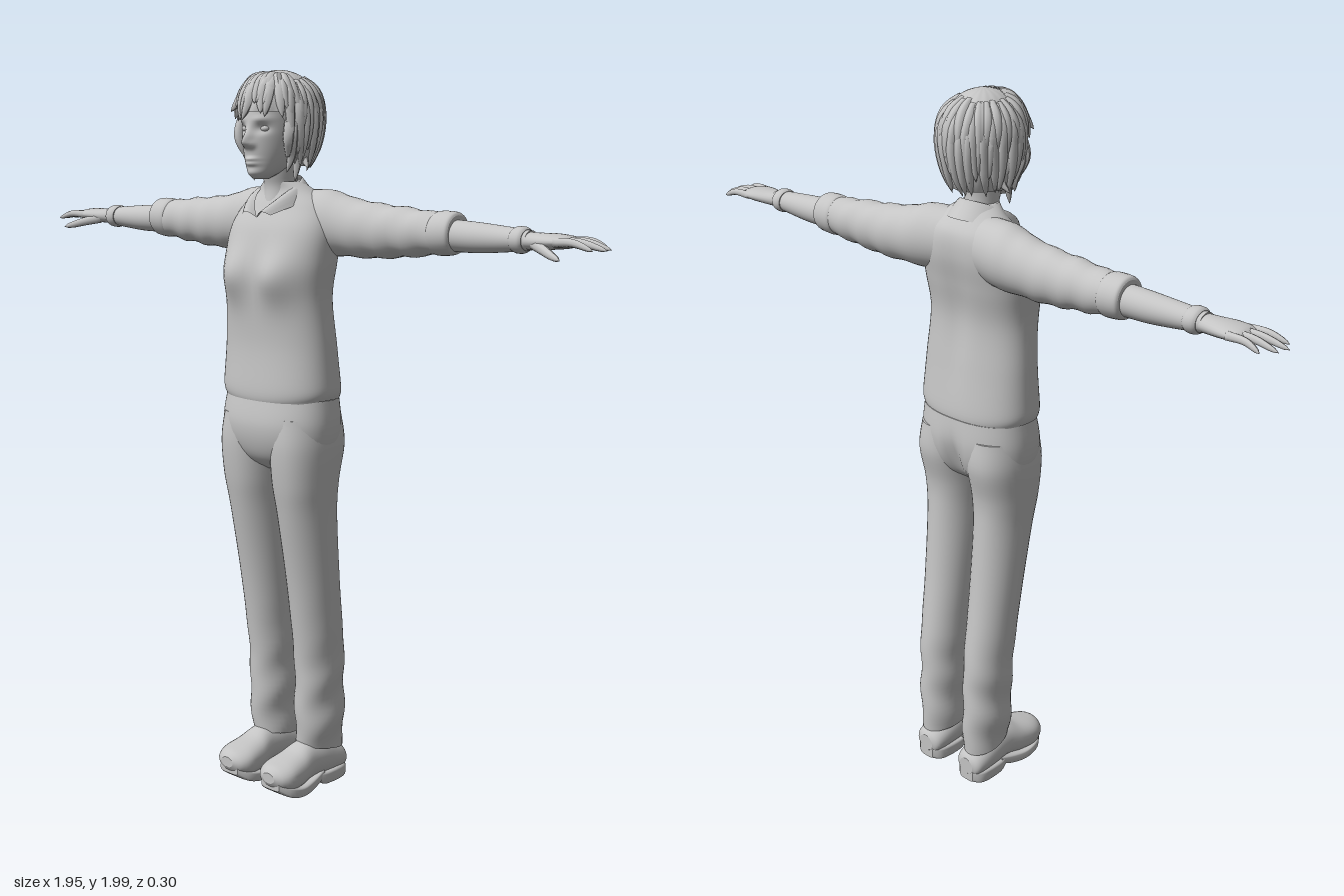
import * as THREE from 'three';

const clay = new THREE.MeshStandardMaterial({ color: 0xc4c4c4, side: THREE.DoubleSide });
clay.name = 'light grey';

let seed = 7;
const rand = () => (seed = (seed * 16807) % 2147483647) / 2147483647;
const gauss = (x, c, w) => Math.exp(-(((x - c) / w) ** 2));
const spow = (v, e) => Math.sign(v) * Math.abs(v) ** e;

function build(pos, idx) {
  const g = new THREE.BufferGeometry();
  g.setAttribute('position', new THREE.Float32BufferAttribute(pos, 3));
  g.setIndex(idx);
  g.computeVertexNormals();
  return g;
}

// Smooth skin through rows [t, u, v, ru, rv, power] along one axis, with flat ends.
// Axis y: u = x, v = z.  Axis x: u = y, v = z.  Axis z: u = x, v = y.
function loft(axis, rows, deform = () => {}, n = 36, steps = 6) {
  const pos = [], idx = [], p = new THREE.Vector3();
  const at = (i) => rows[Math.max(0, Math.min(rows.length - 1, i))];
  const total = (rows.length - 1) * steps;
  const put = (t, u, v) => {
    if (axis === 'y') p.set(u, t, v); else if (axis === 'x') p.set(t, u, v); else p.set(u, v, t);
    deform(p);
    pos.push(p.x, p.y, p.z);
  };
  const sample = (s) => {
    const i = Math.min(Math.floor(s / steps), rows.length - 2), f = s / steps - i;
    return [0, 1, 2, 3, 4, 5].map((k) => {
      const [a, b, c, d] = [-1, 0, 1, 2].map((o) => at(i + o)[k] ?? 2);
      return b + 0.5 * f * (c - a + f * (2 * a - 5 * b + 4 * c - d + f * (3 * (b - c) + d - a)));
    });
  };
  const ring = (s) => {
    const [t, u, v, ru, rv, pw] = sample(s), dir = axis === 'y' ? -1 : 1;
    for (let j = 0; j < n; j++) {
      const a = (j / n) * Math.PI * 2;
      put(t, u + ru * spow(Math.cos(a), 2 / pw), v + dir * rv * spow(Math.sin(a), 2 / pw));
    }
  };
  for (let s = 0; s <= total; s++) ring(s);
  for (let s = 0; s < total; s++) for (let j = 0; j < n; j++) {
    const a = s * n + j, b = s * n + (j + 1) % n;
    idx.push(a, b, b + n, a, b + n, a + n);
  }
  for (const s of [0, total]) {
    const base = pos.length / 3, [t, u, v] = sample(s);
    ring(s);
    put(t, u, v);
    for (let j = 0; j < n; j++) {
      const a = base + j, b = base + (j + 1) % n;
      s ? idx.push(a, b, base + n) : idx.push(b, a, base + n);
    }
  }
  return build(pos, idx);
}

// Open sheet from a point function of two parameters
function sheet(fn, nu, nv) {
  const pos = [], idx = [];
  for (let i = 0; i <= nu; i++) for (let j = 0; j <= nv; j++) {
    pos.push(...fn(i / nu, j / nv));
    if (i < nu && j < nv) {
      const a = i * (nv + 1) + j, b = a + nv + 1;
      idx.push(a, a + 1, b, b, a + 1, b + 1);
    }
  }
  return build(pos, idx);
}

// Tube along points whose radius follows a rule
function taperTube(points, radius, rule, seg = 10, sides = 8) {
  const curve = new THREE.CatmullRomCurve3(points.map((q) => new THREE.Vector3(...q)));
  const g = new THREE.TubeGeometry(curve, seg, radius, sides);
  const a = g.attributes.position, v = new THREE.Vector3();
  for (let i = 0; i < a.count; i++) {
    const t = Math.floor(i / (sides + 1)) / seg, c = curve.getPointAt(t);
    v.fromBufferAttribute(a, i).sub(c).multiplyScalar(rule(t)).add(c);
    a.setXYZ(i, v.x, v.y, v.z);
  }
  g.computeVertexNormals();
  return g;
}

function mirrored(geo) {
  const g = geo.clone().scale(-1, 1, 1), ix = g.index.array;
  for (let i = 0; i < ix.length; i += 3) [ix[i], ix[i + 1]] = [ix[i + 1], ix[i]];
  g.computeVertexNormals();
  return g;
}

export function createModel() {
  const model = new THREE.Group(), body = new THREE.Group();
  body.name = 'body';
  body.position.x = 0.009;
  model.add(body);
  const add = (name, geo, parent = body) => {
    const m = new THREE.Mesh(geo, clay);
    m.name = name;
    parent.add(m);
  };
  const pair = (name, geo, parent) => {
    add(name + 'Left', geo, parent);
    add(name + 'Right', mirrored(geo), parent);
  };

  // Shirt
  add('shirt', loft('y', [
    [1.115, 0, 0.002, 0.176, 0.108, 2.3], [1.15, 0, 0.003, 0.182, 0.113, 2.3], [1.27, 0, 0.006, 0.174, 0.102, 2.3],
    [1.4, 0, 0.014, 0.163, 0.1, 2.3], [1.5, 0, 0.005, 0.168, 0.105, 2.4], [1.58, 0, -0.01, 0.165, 0.103, 2.4],
    [1.64, 0, -0.022, 0.14, 0.085, 2.2], [1.68, 0, -0.015, 0.09, 0.06], [1.705, 0, 0, 0.052, 0.048]], (p) => {
    if (p.z > 0) p.z += 0.032 * gauss(p.y, 1.46, 0.065) * gauss(Math.abs(p.x), 0.075, 0.06);
    else p.z += 0.012 * gauss(p.x, 0, 0.035) * gauss(p.y, 1.42, 0.16);
    p.y += 0.018 * (p.x / 0.18) ** 2 * gauss(p.y, 1.11, 0.06);
  }, 56, 7));

  // Collar flaps
  pair('collar', sheet((u, v) => {
    const f = u * u, a = Math.PI * (1 - u), b = Math.PI + (0.62 - Math.PI) * u;
    const top = [0.053 * Math.sin(a), 1.72 - 0.108 * f, 0.003 + 0.056 * Math.cos(a) + 0.042 * f];
    const low = [0.088 * Math.sin(b), 1.675 - 0.055 * f, -0.005 + 0.085 * Math.cos(b) + 0.038 * f];
    return top.map((c, k) => c + (low[k] - c) * v + (k ? 0.012 * Math.sin(v * Math.PI) : 0));
  }, 20, 6));

  // Sleeves with soft folds and rolled cuffs
  pair('sleeve', loft('x', [
    [0.06, 1.6, -0.035, 0.083, 0.07], [0.14, 1.597, -0.048, 0.087, 0.075], [0.2, 1.59, -0.053, 0.078, 0.068],
    [0.28, 1.583, -0.056, 0.072, 0.063], [0.4, 1.583, -0.06, 0.062, 0.056], [0.49, 1.584, -0.064, 0.052, 0.051]], (p) => {
    p.y += 0.003 * Math.sin(p.x * 75 + p.z * 30) * gauss(p.x, 0.38, 0.15);
  }), model);
  pair('cuff', loft('x', [[0.475, 1.585, -0.064, 0.047, 0.047], [0.485, 1.585, -0.064, 0.055, 0.054],
    [0.51, 1.586, -0.064, 0.056, 0.055], [0.535, 1.587, -0.065, 0.053, 0.053], [0.542, 1.587, -0.065, 0.045, 0.046]], undefined, 32, 4), model);

  // Forearms, wristbands and hands
  pair('forearm', loft('x', [[0.52, 1.582, -0.064, 0.04, 0.04], [0.6, 1.58, -0.063, 0.038, 0.038],
    [0.68, 1.58, -0.062, 0.032, 0.033], [0.76, 1.581, -0.06, 0.024, 0.029]]), model);
  pair('wristband', loft('x', [[0.715, 1.581, -0.061, 0.029, 0.034], [0.725, 1.581, -0.061, 0.033, 0.038],
    [0.742, 1.581, -0.06, 0.032, 0.037], [0.75, 1.581, -0.06, 0.026, 0.031]], undefined, 28, 3), model);
  pair('palm', loft('x', [[0.745, 1.58, -0.06, 0.022, 0.027], [0.785, 1.58, -0.06, 0.021, 0.036],
    [0.83, 1.582, -0.062, 0.019, 0.046], [0.865, 1.582, -0.064, 0.015, 0.044], [0.88, 1.58, -0.065, 0.008, 0.036]], undefined, 24, 4), model);
  const fingerRule = (t) => Math.sqrt(Math.max(0.002, 1 - t ** 5)) * (1 - 0.3 * t);
  [[-0.028, -0.018, 0.955], [-0.053, -0.048, 0.975], [-0.077, -0.08, 0.967], [-0.1, -0.113, 0.94]].forEach(([z0, z1, x], i) =>
    pair('finger' + (i + 1), taperTube([[0.845, 1.582, z0], [0.9, 1.583, (z0 + z1) / 2], [x, 1.568, z1]], 0.0115, fingerRule), model));
  pair('thumb', taperTube([[0.785, 1.573, -0.04], [0.83, 1.562, -0.012], [0.86, 1.553, 0.005], [0.89, 1.545, 0.018]], 0.014, fingerRule), model);

  // Trousers
  add('trouserSeat', loft('y', [
    [0.925, 0, 0, 0.06, 0.045], [0.955, 0, 0.003, 0.14, 0.088], [1, 0, 0.003, 0.173, 0.112, 2.2],
    [1.06, 0, 0.003, 0.18, 0.121, 2.3], [1.13, 0, 0, 0.172, 0.112, 2.3]], (p) => {
    if (p.z < 0) p.z += 0.025 * gauss(p.x, 0, 0.025) * gauss(p.y, 0.99, 0.07);
  }, 56));
  pair('trouserLeg', loft('y', [
    [0.11, 0.084, -0.064, 0.055, 0.076], [0.2, 0.087, -0.062, 0.06, 0.082], [0.3, 0.087, -0.06, 0.061, 0.08],
    [0.4, 0.088, -0.056, 0.064, 0.08], [0.6, 0.089, -0.03, 0.07, 0.08], [0.8, 0.09, -0.003, 0.076, 0.09],
    [0.9, 0.091, 0.006, 0.081, 0.099, 2.2], [1, 0.092, 0, 0.085, 0.114, 2.2], [1.08, 0.09, 0, 0.08, 0.108]], (p) => {
    const low = gauss(p.y, 0.1, 0.12);
    p.y += 0.2 * (p.z + 0.062) * low;
    p.x += 0.004 * Math.sin(p.y * 45 + p.z * 20) * gauss(p.y, 0.2, 0.2);
  }));

  // Clogs with heel and forefoot soles
  pair('shoe', loft('z', [
    [-0.148, 0.084, 0.055, 0.025, 0.025], [-0.13, 0.084, 0.058, 0.046, 0.04], [-0.06, 0.083, 0.075, 0.051, 0.057],
    [0, 0.082, 0.08, 0.05, 0.058], [0.05, 0.081, 0.068, 0.058, 0.05, 2.3], [0.1, 0.081, 0.063, 0.061, 0.043, 2.4],
    [0.13, 0.081, 0.066, 0.048, 0.032], [0.146, 0.081, 0.069, 0.022, 0.015]], undefined, 32));
  pair('heelSole', loft('z', [[-0.147, 0.084, 0.026, 0.026, 0.02, 4], [-0.12, 0.084, 0.022, 0.049, 0.022, 5],
    [-0.05, 0.083, 0.021, 0.051, 0.021, 5], [-0.025, 0.083, 0.029, 0.046, 0.016, 5]], undefined, 28, 4));
  pair('frontSole', loft('z', [[-0.04, 0.083, 0.036, 0.045, 0.014, 5], [0.01, 0.082, 0.021, 0.054, 0.017, 5],
    [0.06, 0.081, 0.017, 0.062, 0.017, 5], [0.105, 0.081, 0.028, 0.059, 0.017, 5], [0.138, 0.081, 0.046, 0.034, 0.013, 4]], undefined, 28, 4));

  // Neck and sculpted face
  add('neck', loft('y', [[1.6, 0, 0.01, 0.055, 0.06], [1.68, 0, 0.005, 0.044, 0.047], [1.73, 0, 0.012, 0.045, 0.05], [1.8, 0, 0.015, 0.05, 0.06]]));
  add('head', loft('y', [
    [1.712, 0, 0.082, 0.018, 0.022], [1.73, 0, 0.07, 0.04, 0.047], [1.765, 0, 0.042, 0.06, 0.083],
    [1.81, 0, 0.022, 0.073, 0.108], [1.86, 0, 0.014, 0.08, 0.116], [1.92, 0, 0.01, 0.082, 0.108], [1.965, 0, 0.01, 0.055, 0.075]], (p) => {
    if (p.z < 0.05) return;
    const x = Math.abs(p.x), y = p.y;
    p.z += 0.026 * gauss(x, 0, 0.011) * gauss(y, 1.807, y > 1.807 ? 0.026 : 0.012)
      + 0.008 * gauss(x, 0.012, 0.008) * gauss(y, 1.8, 0.009)
      - 0.012 * gauss(x, 0.033, 0.017) * gauss(y, 1.842, 0.012)
      + 0.005 * gauss(x, 0.035, 0.022) * gauss(y, 1.866, 0.008)
      + 0.008 * gauss(x, 0, 0.02) * (gauss(y, 1.764, 0.005) + gauss(y, 1.752, 0.006))
      + 0.007 * gauss(x, 0, 0.025) * gauss(y, 1.727, 0.013);
  }, 96, 12));
  pair('eye', new THREE.SphereGeometry(0.012, 16, 12).scale(1.15, 0.7, 0.8).translate(0.033, 1.842, 0.105));
  pair('ear', new THREE.SphereGeometry(0.028, 14, 12).scale(0.4, 1.1, 0.7).translate(0.08, 1.825, 0.005));

  // Hair cap: a is the angle from the front, phi runs down from the crown
  const hairPoint = (a, phi, k) => {
    const c = Math.cos(phi), s = Math.abs(Math.sin(phi)) ** (c > 0 ? 1 : 0.6) * k;
    return [0.104 * s * Math.sin(a), 1.882 + c * (c > 0 ? 0.112 * k : 0.17), 0.012 + 0.122 * s * Math.cos(a)];
  };
  const reach = (a) => 2.5 - 0.95 * THREE.MathUtils.smoothstep((1 + Math.cos(a)) / 2, 0.6, 0.86);
  add('hairCap', sheet((u, v) => {
    const a = u * Math.PI * 2;
    return hairPoint(a, 0.001 + v * reach(a), 0.985 + 0.012 * Math.sin(a * 17 + v * 5) * v);
  }, 120, 24));

  // Layered locks swept from the crown
  const locks = new THREE.Group();
  locks.name = 'hairLocks';
  body.add(locks);
  for (let layer = 0; layer < 3; layer++) for (let i = 0; i < 26; i++) {
    const a = ((i + layer / 3 + rand() * 0.4) / 26) * Math.PI * 2;
    const end = reach(a) * (1.03 - layer * 0.16) + (rand() - 0.4) * 0.16;
    const start = end * (0.3 + 0.1 * rand()), swirl = (rand() - 0.4) * 0.35;
    const flick = 1.02 + rand() * (layer ? 0.05 : 0.13);
    const pts = [0, 0.35, 0.7, 1].map((t) =>
      hairPoint(a + swirl * t * t, start + (end - start) * t, t === 1 ? flick : 0.955 + 0.03 * t));
    add('lock', taperTube(pts, 0.0145, (t) => 0.03 + Math.sin(Math.PI * Math.min(1, 0.12 + t * 0.88)) ** 0.7, 12, 7), locks);
  }
  // Side locks falling in front of the ears
  for (const [z, y, x] of [[0.05, 1.73, 0.068], [0.025, 1.705, 0.074], [0, 1.74, 0.098], [0.065, 1.77, 0.078]])
    pair('sideLock', taperTube([[0.085, 1.88, z], [0.088, 1.82, z + 0.008], [0.076, 1.77, z], [x, y, z + 0.008]],
      0.015, (t) => 0.03 + Math.sin(Math.PI * (0.15 + t * 0.85)) ** 0.7, 12, 7), locks);

  return model;
}
